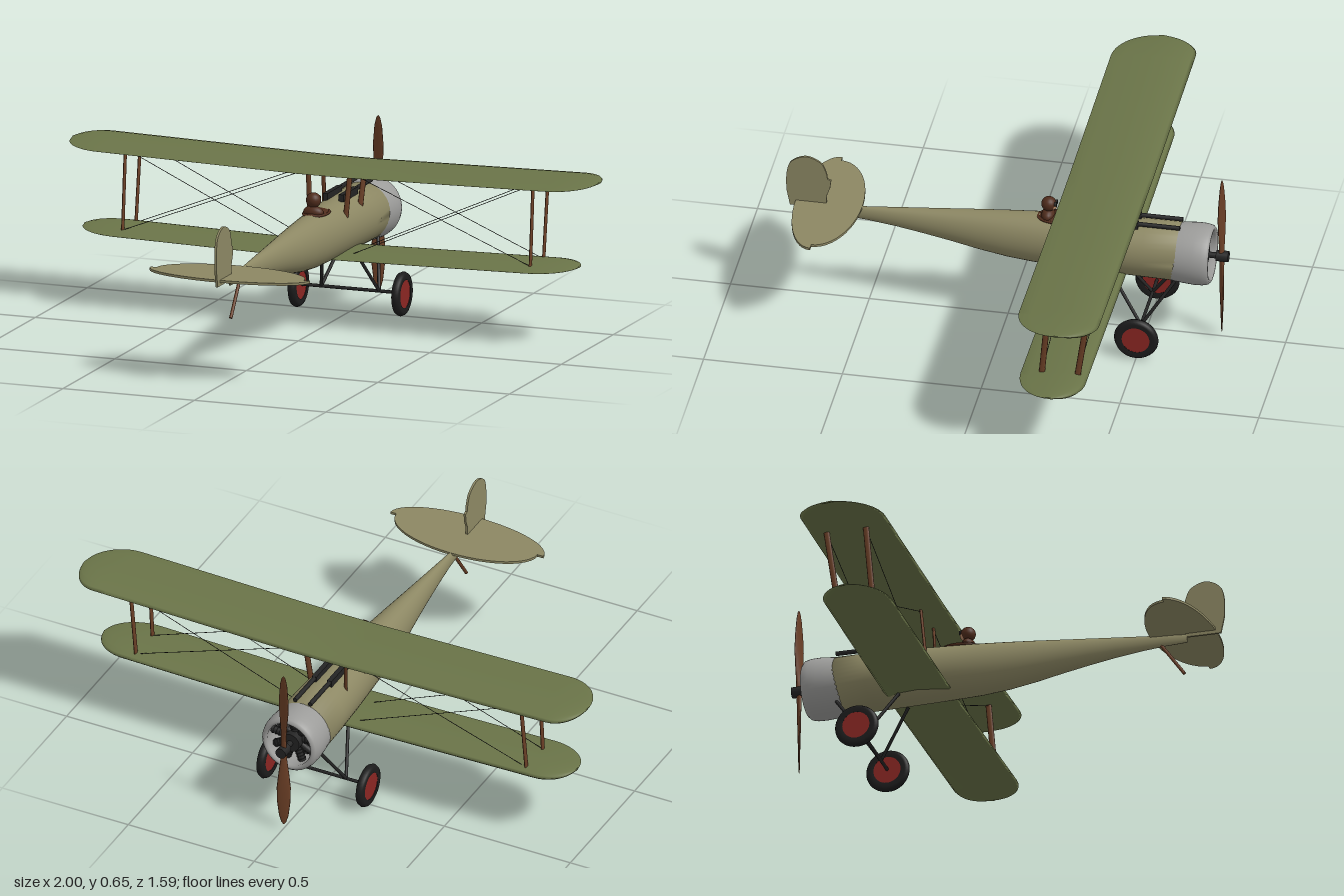
import * as THREE from 'three';

const mat = (color, side = THREE.FrontSide) => new THREE.MeshStandardMaterial({ color, side });
const OLIVE = mat(0x6a7448), LINEN = mat(0x8c8763), METAL = mat(0x9c9c9a, THREE.DoubleSide);
const DARK = mat(0x242424), WOOD = mat(0x6b3f26), RED = mat(0x8a2622), LEATHER = mat(0x4f2c1c), SKIN = mat(0xb98a68);
const V = (x, y, z) => new THREE.Vector3(x, y, z);

// Closed surface through rings of equal point count, capped at both ends
function loft(rings) {
  const n = rings[0].length, m = rings.length, pos = [], idx = [];
  rings.forEach(r => r.forEach(p => pos.push(p.x, p.y, p.z)));
  for (let i = 0; i < m - 1; i++) for (let j = 0; j < n; j++) {
    const a = i * n + j, b = i * n + (j + 1) % n;
    idx.push(a, b, a + n, b, b + n, a + n);
  }
  for (let j = 1; j < n - 1; j++) {
    idx.push(0, j + 1, j);
    idx.push((m - 1) * n, (m - 1) * n + j, (m - 1) * n + j + 1);
  }
  // Signed volume decides whether the winding must be turned outward
  const at = i => V(pos[3 * i], pos[3 * i + 1], pos[3 * i + 2]);
  let vol = 0;
  for (let i = 0; i < idx.length; i += 3) vol += at(idx[i]).dot(at(idx[i + 1]).cross(at(idx[i + 2])));
  if (vol < 0) idx.reverse();
  const g = new THREE.BufferGeometry();
  g.setAttribute('position', new THREE.Float32BufferAttribute(pos, 3));
  g.setIndex(idx);
  g.computeVertexNormals();
  return g;
}

function ring(n, f) {
  return Array.from({ length: n }, (_, i) => f(Math.cos(i / n * 2 * Math.PI), Math.sin(i / n * 2 * Math.PI)));
}

// Cambered wing with dihedral and rounded tips
function wing(span, le, te, y0, rise, frontTip, rearTip) {
  const profile = [[0, 0.012], [0.04, 0.019], [0.15, 0.025], [0.35, 0.028], [0.6, 0.023], [0.85, 0.014], [1, 0.009],
    [0.97, 0.006], [0.8, 0.009], [0.5, 0.012], [0.2, 0.008], [0.05, 0.001]];
  const mid = le + (te - le) * 0.48, xs = [0, 0.1, 0.4, 0.7].map(s => s * span);
  for (let i = 0; i <= 14; i++) xs.push(span - rearTip * (1 - Math.sin(i / 14 * Math.PI / 2)));
  const stations = [...xs.slice(1).reverse().map(x => -x), ...xs];
  const round = (x, tip) => Math.sqrt(Math.max(0.0004, 1 - Math.max(0, (x - span + tip) / tip) ** 2));
  return loft(stations.map(x => {
    const a = Math.abs(x);
    const f = mid + (le - mid) * round(a, frontTip), b = mid + (te - mid) * round(a, rearTip);
    const k = Math.max(0.25, (b - f) / (te - le));
    const y = y0 + rise * Math.max(0, a - 0.1) / (span - 0.1);
    return profile.map(([t, h]) => V(x, y + 0.014 + (h - 0.014) * k, f + (b - f) * t));
  }));
}

// Thin plate cut from an outline
function plate(points, depth) {
  const g = new THREE.ExtrudeGeometry(new THREE.Shape(points), { depth, bevelEnabled: false });
  return g.translate(0, 0, -depth / 2);
}

export function createModel() {
  const root = new THREE.Group();
  root.name = 'biplane';
  const add = (name, geo, material, x = 0, y = 0, z = 0, parent = root) => {
    const m = new THREE.Mesh(geo, material);
    m.name = name;
    m.position.set(x, y, z);
    parent.add(m);
    return m;
  };
  // Round or oval bar between two points (rx across, rz along the flight direction)
  const rod = (name, a, b, rx, material, rz = rx, sides = 10) => {
    const d = b.clone().sub(a);
    const g = new THREE.CylinderGeometry(1, 1, d.length(), sides).scale(rx, 1, rz);
    const c = a.clone().add(b).multiplyScalar(0.5);
    add(name, g, material, c.x, c.y, c.z).quaternion.setFromUnitVectors(V(0, 1, 0), d.normalize());
  };

  // Fuselage: z, top, bottom, half width
  const body = [[-0.62, 0.446, 0.234, 0.106], [-0.5, 0.446, 0.236, 0.104], [-0.35, 0.443, 0.238, 0.096],
    [-0.2, 0.438, 0.24, 0.084], [-0.1, 0.434, 0.243, 0.077], [0, 0.428, 0.252, 0.068], [0.1, 0.421, 0.268, 0.057],
    [0.2, 0.413, 0.288, 0.045], [0.3, 0.405, 0.306, 0.034], [0.4, 0.397, 0.322, 0.024], [0.5, 0.389, 0.334, 0.014],
    [0.58, 0.383, 0.341, 0.009], [0.66, 0.376, 0.345, 0.005]];
  add('fuselage', loft(body.map(([z, t, b, w]) =>
    ring(36, (c, s) => V(w * c, (t + b) / 2 + (t - b) / 2 * s, z)))), LINEN);

  // Open engine cowl
  const cy = 0.338;
  const cowl = [[0.104, 0.6], [0.109, 0.64], [0.112, 0.68], [0.111, 0.71], [0.106, 0.73], [0.098, 0.738],
    [0.09, 0.737], [0.086, 0.73], [0.09, 0.71], [0.096, 0.67], [0.096, 0.63]].map(p => new THREE.Vector2(...p));
  add('cowl', new THREE.LatheGeometry(cowl, 48).rotateX(-Math.PI / 2), METAL, 0, cy);

  // Radial engine
  const zAxis = (r, len) => new THREE.CylinderGeometry(r, r, len, 24).rotateX(Math.PI / 2);
  add('firewall', zAxis(0.096, 0.01), DARK, 0, cy, -0.628);
  add('crankcase', zAxis(0.036, 0.08), DARK, 0, cy, -0.68);
  for (let i = 0; i < 9; i++) {
    const cylinder = new THREE.Group();
    cylinder.name = 'engineCylinder';
    cylinder.position.set(0, cy, -0.685);
    cylinder.rotation.z = i / 9 * 2 * Math.PI;
    root.add(cylinder);
    add('barrel', new THREE.CylinderGeometry(0.013, 0.012, 0.06, 12), DARK, 0, 0.06, 0, cylinder);
    for (let k = 0; k < 4; k++) add('coolingFin', new THREE.CylinderGeometry(0.016, 0.016, 0.004, 12), DARK, 0, 0.046 + k * 0.012, 0, cylinder);
  }

  // Propeller
  add('propellerShaft', zAxis(0.011, 0.07), DARK, 0, cy, -0.735);
  add('propellerHub', zAxis(0.02, 0.044), DARK, 0, cy, -0.773);
  const blade = [[0.0, 0.012, 0.009, 0.6], [0.04, 0.012, 0.008, 0.6], [0.1, 0.019, 0.006, 0.5], [0.16, 0.025, 0.005, 0.42],
    [0.22, 0.024, 0.004, 0.34], [0.28, 0.017, 0.003, 0.27], [0.308, 0.009, 0.002, 0.24], [0.317, 0.002, 0.001, 0.22]];
  for (const turn of [0, Math.PI]) {
    const g = loft(blade.map(([r, w, t, a]) => ring(16, (c, s) =>
      V(w * c * Math.cos(a) - t * s * Math.sin(a), r, w * c * Math.sin(a) + t * s * Math.cos(a)))));
    add('propellerBlade', g, WOOD, 0, cy, -0.77).rotation.z = turn;
  }

  // Wings
  add('upperWing', wing(1, -0.502, -0.205, 0.549, 0.018, 0.1, 0.15), OLIVE);
  add('lowerWing', wing(0.94, -0.438, -0.197, 0.25, 0.016, 0.12, 0.16), OLIVE);

  for (const s of [1, -1]) {
    // Wing struts, cabane struts and bracing wires, front and rear
    for (const [zt, zb] of [[-0.443, -0.4], [-0.298, -0.272]]) {
      rod('wingStrut', V(s * 0.775, 0.572, zt), V(s * 0.775, 0.276, zb), 0.005, WOOD, 0.011);
      rod('cabaneStrut', V(s * 0.08, 0.562, zt), V(s * 0.068, 0.395, (zt + zb) / 2), 0.005, WOOD, 0.01);
      rod('bracingWire', V(s * 0.08, 0.555, zt), V(s * 0.77, 0.282, zb), 0.0012, DARK, 0.0012, 5);
      rod('bracingWire', V(s * 0.77, 0.568, zt), V(s * 0.1, 0.268, zb), 0.0012, DARK, 0.0012, 5);
    }

    // Landing gear
    for (const z of [-0.385, -0.615]) rod('gearStrut', V(s * 0.11, 0.085, -0.5), V(s * 0.06, 0.255, z), 0.006, DARK);
    const tyre = [[0.05, -0.013], [0.066, -0.015], [0.075, -0.011], [0.08, 0], [0.075, 0.011], [0.066, 0.015], [0.05, 0.013]];
    add('tyre', new THREE.LatheGeometry(tyre.map(p => new THREE.Vector2(...p)), 40).rotateZ(Math.PI / 2),
      mat(0x1c1c1c, THREE.DoubleSide), s * 0.197, 0.082, -0.5);
    add('wheelDisc', new THREE.CylinderGeometry(0.051, 0.051, 0.022, 32).rotateZ(Math.PI / 2), RED, s * 0.197, 0.082, -0.5);

    // Guns on the nose deck
    add('gunBarrel', zAxis(0.008, 0.16), DARK, s * 0.03, 0.455, -0.545);
    add('gunReceiver', new THREE.BoxGeometry(0.018, 0.026, 0.14), DARK, s * 0.03, 0.45, -0.405);
  }
  rod('axle', V(-0.2, 0.085, -0.5), V(0.2, 0.085, -0.5), 0.006, DARK);

  // Cockpit and pilot
  add('cockpitOpening', new THREE.SphereGeometry(1, 24, 12).scale(0.042, 0.012, 0.065), LEATHER, 0, 0.43, -0.175);
  add('cockpitRim', new THREE.TorusGeometry(1, 0.12, 8, 32).rotateX(Math.PI / 2).scale(0.042, 0.04, 0.065), LEATHER, 0, 0.43, -0.175);
  add('pilotShoulders', new THREE.SphereGeometry(1, 20, 12).scale(0.038, 0.024, 0.024), LEATHER, 0, 0.438, -0.145);
  add('pilotHead', new THREE.SphereGeometry(0.027, 20, 14), LEATHER, 0, 0.482, -0.147);
  add('pilotFace', new THREE.SphereGeometry(0.02, 16, 12), SKIN, 0, 0.478, -0.157);
  for (const s of [1, -1]) add('goggle', zAxis(0.008, 0.008), DARK, s * 0.009, 0.487, -0.173);

  // Tailplane: front and rear half ellipses with overhanging elevator tips
  const tail = [];
  const arc = (w, d, from) => {
    for (let i = 0; i <= 24; i++) {
      const a = from + i / 24 * Math.PI;
      tail.push(new THREE.Vector2(w * Math.cos(a), 0.655 + d * Math.sin(a)));
    }
  };
  arc(0.303, 0.11, 0);
  arc(0.28, 0.13, Math.PI);
  add('tailplane', plate(tail, 0.009).rotateX(Math.PI / 2), LINEN, 0, 0.383);

  // Rudder outline in z and y, smoothed over its rounded top
  const top = new THREE.SplineCurve([[0.798, 0.43], [0.797, 0.5], [0.78, 0.548], [0.728, 0.573], [0.675, 0.553],
    [0.655, 0.515], [0.65, 0.488]].map(p => new THREE.Vector2(...p))).getPoints(30);
  const outline = [new THREE.Vector2(0.785, 0.366), ...top,
    ...[[0.637, 0.483], [0.641, 0.45], [0.652, 0.42], [0.655, 0.366]].map(p => new THREE.Vector2(...p))];
  add('rudder', plate(outline, 0.008).rotateY(-Math.PI / 2), LINEN);
  rod('tailSkid', V(0, 0.345, 0.565), V(0, 0.225, 0.65), 0.006, WOOD);

  return root;
}
